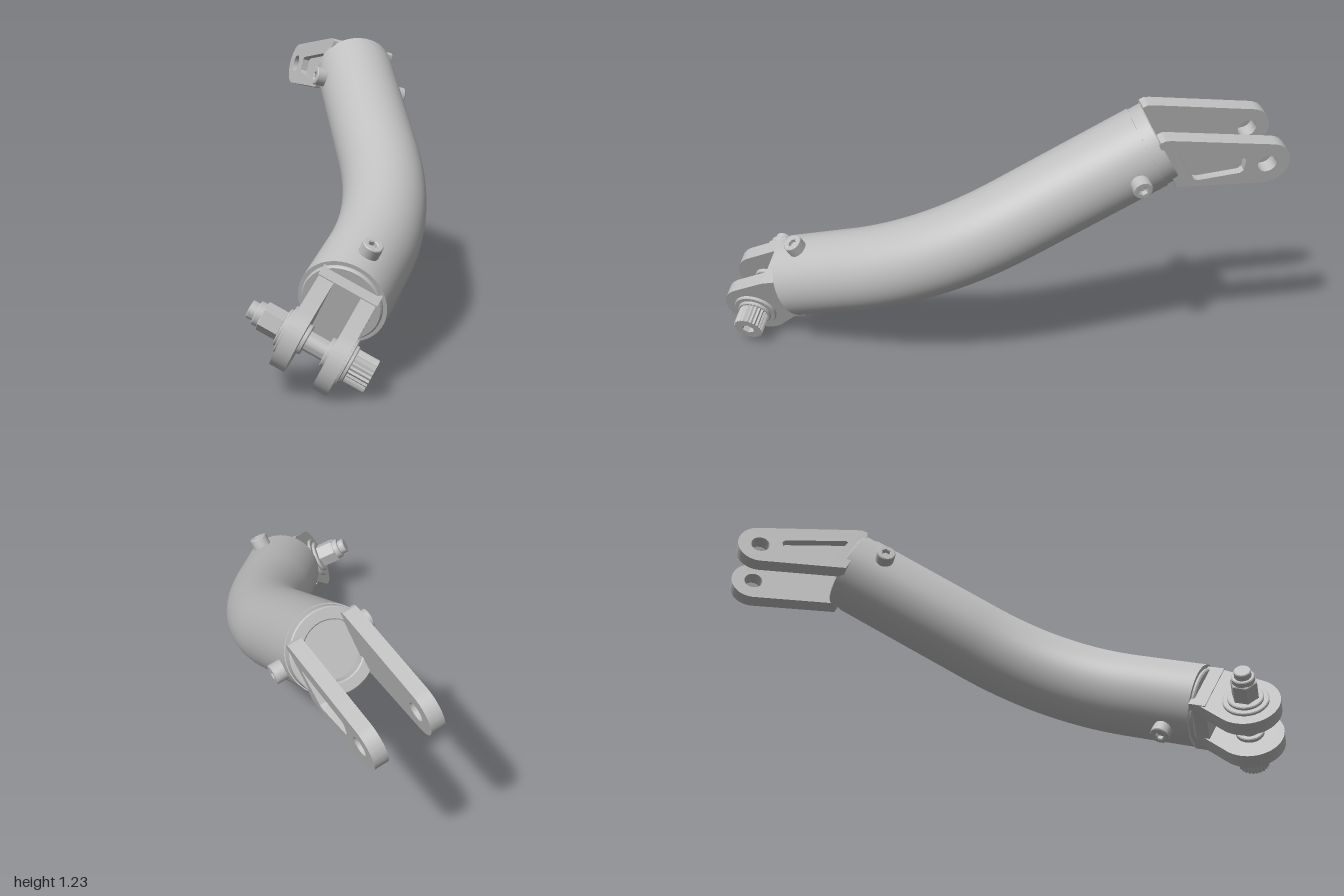
import * as THREE from 'three';
import { toCreasedNormals } from 'three/addons/utils/BufferGeometryUtils.js';

const R = 0.185; // tube radius
const metal = new THREE.MeshStandardMaterial({ color: 0xbfbfbf });
metal.name = 'light grey metal';

function add(parent, name, geometry) {
  const mesh = new THREE.Mesh(geometry, metal);
  mesh.name = name;
  parent.add(mesh);
  return mesh;
}

// Regular polygon or circle, as an outline or a hole
function ngon(cls, r, sides, cx = 0, cy = 0) {
  const pts = [];
  for (let i = 0; i < sides; i++) {
    const a = (i / sides) * Math.PI * 2;
    pts.push(new THREE.Vector2(cx + r * Math.cos(a), cy + r * Math.sin(a)));
  }
  return new cls(pts);
}

function extrude(shape, depth, bevel = 0) {
  const g = new THREE.ExtrudeGeometry(shape, {
    depth: depth - 2 * bevel, curveSegments: 28, bevelEnabled: bevel > 0,
    bevelThickness: bevel, bevelSize: bevel, bevelOffset: -bevel, bevelSegments: 1,
  });
  g.translate(0, 0, bevel);
  return toCreasedNormals(g, 0.5);
}

// Round or polygonal slice lying along x, from x0 to x1, with an optional hex socket
function disc(parent, name, r, x0, x1, sides = 32, socket = 0) {
  const shape = ngon(THREE.Shape, r, sides);
  if (socket) shape.holes.push(ngon(THREE.Path, socket, 6));
  const mesh = add(parent, name, extrude(shape, x1 - x0, 0.004).rotateY(Math.PI / 2));
  mesh.position.x = x0;
  return mesh;
}

// Plate drawn as (outward, up), with its thickness running from x0 to x1
function plate(parent, name, shape, x0, x1) {
  const mesh = add(parent, name, extrude(shape, x1 - x0).rotateY(-Math.PI / 2));
  mesh.position.x = x1;
  return mesh;
}

// Mirror the range [p, q] for the other side
const span = (side, p, q) => (side > 0 ? [p, q] : [-q, -p]);

// Socket screw standing on the tube, its axis along +x of the returned group
function socketScrew(parent, name) {
  const g = new THREE.Group();
  g.name = name;
  disc(g, 'screwRim', 0.043, 0.14, 0.232, 24, 0.019);
  disc(g, 'socketFloor', 0.03, 0.15, 0.212, 12);
  parent.add(g);
  return g;
}

// Point in the slanted plane in which the tube bends
const inPlane = (x, u) => new THREE.Vector3(x, 0.78 + 0.549 * u, -0.836 * u);

// Group at a tube end: +z points out of the tube, +y is normal to the bend plane
function endFrame(name, x, u, angle, sign) {
  const out = new THREE.Vector3(Math.cos(angle), 0.549 * Math.sin(angle), -0.836 * Math.sin(angle));
  out.multiplyScalar(sign).normalize();
  const up = new THREE.Vector3(0, 0.836, 0.549).normalize();
  const side = new THREE.Vector3().crossVectors(up, out);
  const g = new THREE.Group();
  g.name = name;
  g.applyMatrix4(new THREE.Matrix4().makeBasis(side, up, out));
  g.position.copy(inPlane(x, u));
  add(g, 'tubeEndFace', new THREE.RingGeometry(0.13, R, 64));
  return g;
}

// Rounded lug: straight base, round eye with a bore
function lugShape(base, ex, ey, r, a0, a1, bore) {
  const s = new THREE.Shape();
  base.forEach(([x, y], i) => (i ? s.lineTo(x, y) : s.moveTo(x, y)));
  s.absarc(ex, ey, r, a0, a1, false);
  s.closePath();
  s.holes.push(ngon(THREE.Path, bore, 24, ex, ey));
  return s;
}

export function createModel() {
  const model = new THREE.Group();
  model.name = 'bentTubeLink';
  const lowAngle = (33 * Math.PI) / 180, highAngle = (62 * Math.PI) / 180;
  const L = [-0.55, -0.855], U = [0.56, 0.478];
  const along = (p, angle, d) => inPlane(p[0] + d * Math.cos(angle), p[1] + d * Math.sin(angle));

  // Bent tube: straight, bend, straight
  const path = new THREE.CurvePath();
  const a = along(L, lowAngle, 0.33), b = along(U, highAngle, -0.65);
  path.add(new THREE.LineCurve3(inPlane(...L), a));
  path.add(new THREE.QuadraticBezierCurve3(a, along(L, lowAngle, 0.732), b));
  path.add(new THREE.LineCurve3(b, inPlane(...U)));
  add(model, 'bentTube', new THREE.TubeGeometry(path, 90, R, 64, false));

  // Upper end: open collar and long fork
  const upper = endFrame('upperFork', U[0], U[1], highAngle, 1);
  model.add(upper);
  const collarShape = ngon(THREE.Shape, 0.18, 64);
  collarShape.holes.push(ngon(THREE.Path, 0.125, 48));
  add(upper, 'collar', extrude(collarShape, 0.08, 0.005)).position.z = -0.02;
  add(upper, 'collarFloor', new THREE.CircleGeometry(0.14, 48)).position.z = 0.005;

  const fork = new THREE.Group();
  fork.name = 'forkLugs';
  fork.rotation.x = (33 * Math.PI) / 180;
  upper.add(fork);
  const forkShape = () => lugShape(
    [[0.03, 0.146], [0.005, 0.146], [-0.015, 0.135], [-0.015, 0.115], [0.065, -0.04], [0.1, -0.102]],
    0.49, 0, 0.102, -Math.PI / 2, 1.47, 0.042);
  const pocketed = forkShape();
  pocketed.holes.push(new THREE.Path([
    [0.08, 0.06], [0.09, 0.068], [0.375, 0.038], [0.388, 0.026], [0.388, -0.028],
    [0.375, -0.042], [0.19, -0.07], [0.17, -0.064],
  ].map(([x, y]) => new THREE.Vector2(x, y))));
  for (const side of [-1, 1]) {
    plate(fork, 'forkLugInner', forkShape(), ...span(side, 0.095, 0.125));
    plate(fork, 'forkLugOuter', pocketed, ...span(side, 0.125, 0.158));
    // Screws on both sides of the tube
    const screw = socketScrew(upper, 'upperScrew');
    screw.position.z = -0.095;
    screw.rotation.y = side > 0 ? 0 : Math.PI;
  }

  // Lower end: flange, hub and short clevis
  const lower = endFrame('lowerClevis', L[0], L[1], lowAngle, -1);
  model.add(lower);
  add(lower, 'flange', extrude(ngon(THREE.Shape, 0.168, 64), 0.045, 0.006)).position.z = -0.03;
  add(lower, 'hub', new THREE.BoxGeometry(0.26, 0.26, 0.075)).position.set(0, -0.01, 0.0375);
  const eyeY = -0.065, eyeZ = 0.235;
  const clevisShape = lugShape([[0.05, 0.12], [0.01, 0.12], [0.01, -0.14], [0.05, -0.14]],
    eyeZ, eyeY, 0.148, -1.95, 1.36, 0.04);
  for (const side of [-1, 1]) {
    plate(lower, 'clevisLug', clevisShape, ...span(side, 0.06, 0.125));
    const screw = socketScrew(lower, 'lowerScrew');
    screw.position.z = -0.12;
    screw.rotation.z = (side * Math.PI) / 2;
  }

  // Pin through the clevis, head towards the front
  const pin = new THREE.Group();
  pin.name = 'clevisPin';
  pin.position.set(0, eyeY, eyeZ);
  lower.add(pin);
  disc(pin, 'shaft', 0.041, -0.2, 0.18);
  for (const side of [-1, 1]) {
    disc(pin, 'bushingFlange', 0.1, ...span(side, 0.12, 0.138), 40);
    disc(pin, 'washer', 0.078, ...span(side, 0.135, 0.152), 32);
    disc(pin, 'innerBushing', 0.062, ...span(side, 0.042, 0.065), 32);
  }
  // Knurled socket head
  const teeth = [];
  for (let i = 0; i < 48; i++) {
    const t = (i / 48) * Math.PI * 2, r = i % 2 ? 0.063 : 0.069;
    teeth.push(new THREE.Vector2(r * Math.cos(t), r * Math.sin(t)));
  }
  const head = new THREE.Shape(teeth);
  head.holes.push(ngon(THREE.Path, 0.03, 6));
  add(pin, 'knurledHead', extrude(head, 0.09).rotateY(Math.PI / 2)).position.x = 0.15;
  disc(pin, 'headSocketFloor', 0.04, 0.16, 0.21, 12);
  // Nut and threaded tip
  disc(pin, 'nut', 0.06, -0.24, -0.15, 6);
  disc(pin, 'nutCollar', 0.05, -0.265, -0.235, 24);
  disc(pin, 'pinTip', 0.037, -0.295, -0.2, 24);

  return model;
}
